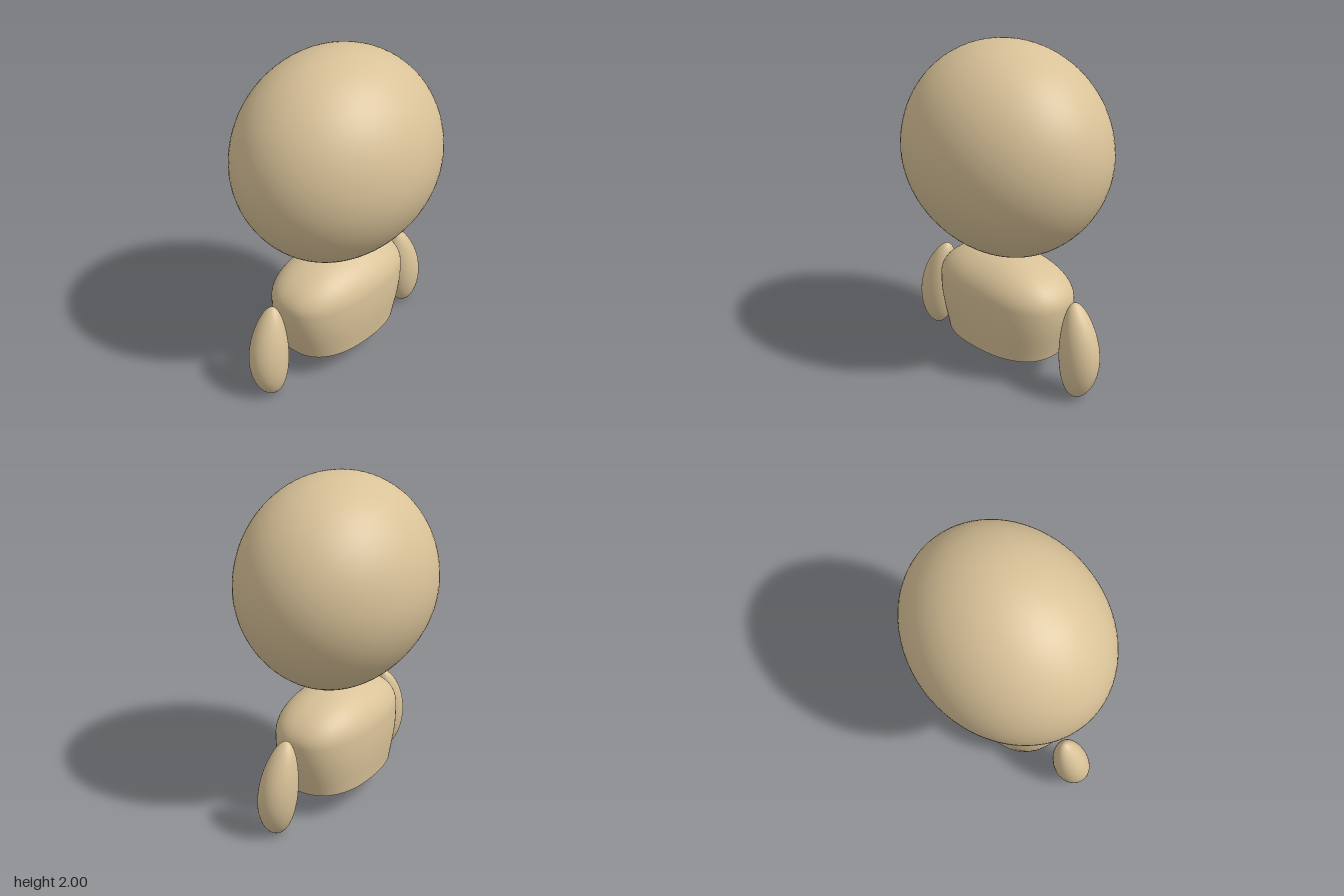
import * as THREE from 'three';
import { mergeVertices } from 'three/addons/utils/BufferGeometryUtils.js';

const tan = new THREE.MeshStandardMaterial({ color: 0xd9c298 });
tan.name = 'warm tan';

// Move every vertex by a rule, then weld seams so the shading stays smooth
function warp(geometry, rule) {
  const p = geometry.attributes.position;
  const v = new THREE.Vector3();
  for (let i = 0; i < p.count; i++) {
    rule(v.fromBufferAttribute(p, i));
    p.setXYZ(i, v.x, v.y, v.z);
  }
  geometry.deleteAttribute('uv');
  geometry.deleteAttribute('normal');
  const welded = mergeVertices(geometry, 1e-5);
  welded.computeVertexNormals();
  return welded;
}

function part(name, geometry) {
  const mesh = new THREE.Mesh(geometry, tan);
  mesh.name = name;
  return mesh;
}

// Wide, round head, narrowing slightly towards the neck
function headGeometry() {
  return warp(new THREE.SphereGeometry(1, 72, 48), (v) => {
    const low = Math.min(v.y, 0) ** 2;
    v.set(v.x * 0.667 * (1 - 0.04 * low), 1.368 + v.y * 0.633, v.z * 0.562 * (1 - 0.1 * low));
  });
}

// Rounded-oblong section: widens a circle of radius r to the torso's footprint
function torsoSection(v) {
  const r = Math.hypot(v.x, v.z);
  if (r < 1e-6) return;
  const c = Math.abs(v.x / r), s = Math.abs(v.z / r), n = 2.4;
  const k = 1 / Math.pow(c ** n + s ** n, 1 / n);
  const depth = v.y < 0.5 ? 0.28 + (0.5 - v.y) * 0.085 : 0.28; // the sides taper more than front and back
  v.set(v.x * k * 0.47, v.y, v.z * k * depth);
}

// Torso shell: tapered skirt below a domed shoulder line
function torsoGeometry() {
  const profile = [];
  for (let i = 0; i < 8; i++) {
    const t = i / 8;
    profile.push(new THREE.Vector2(0.851 + 0.149 * Math.sin(t * Math.PI / 2) ** 1.1, 0.165 + 0.335 * t));
  }
  for (let i = 0; i <= 18; i++) {
    const a = (i / 18) * Math.PI / 2;
    profile.push(new THREE.Vector2(i === 18 ? 0 : Math.cos(a), 0.5 + 0.235 * Math.sin(a)));
  }
  return warp(new THREE.LatheGeometry(profile, 72), torsoSection);
}

// Flat underside of the torso
function torsoBaseGeometry() {
  const disc = new THREE.CircleGeometry(0.851, 72);
  disc.rotateX(Math.PI / 2).translate(0, 0.165, 0);
  return warp(disc, torsoSection);
}

// Drop-shaped arm leaning in at the top
function armGeometry(side) {
  return warp(new THREE.SphereGeometry(1, 40, 32), (v) => {
    const s = v.y;
    const cx = 0.615 - 0.03 * s - 0.03 * s * s;
    const rx = 0.125 * (1 - 0.15 * s - 0.15 * s * s);
    v.set(side * cx + v.x * rx, 0.2925 + s * 0.2885, 0.01 - 0.018 * s + v.z * 0.11 * (1 - 0.1 * s));
  });
}

export function createModel() {
  const model = new THREE.Group();
  model.name = 'figure';

  const torso = new THREE.Group();
  torso.name = 'torso';
  torso.add(part('torsoShell', torsoGeometry()), part('torsoBase', torsoBaseGeometry()));

  model.add(
    part('head', headGeometry()),
    torso,
    part('leftArm', armGeometry(1)),
    part('rightArm', armGeometry(-1)),
  );
  return model;
}
